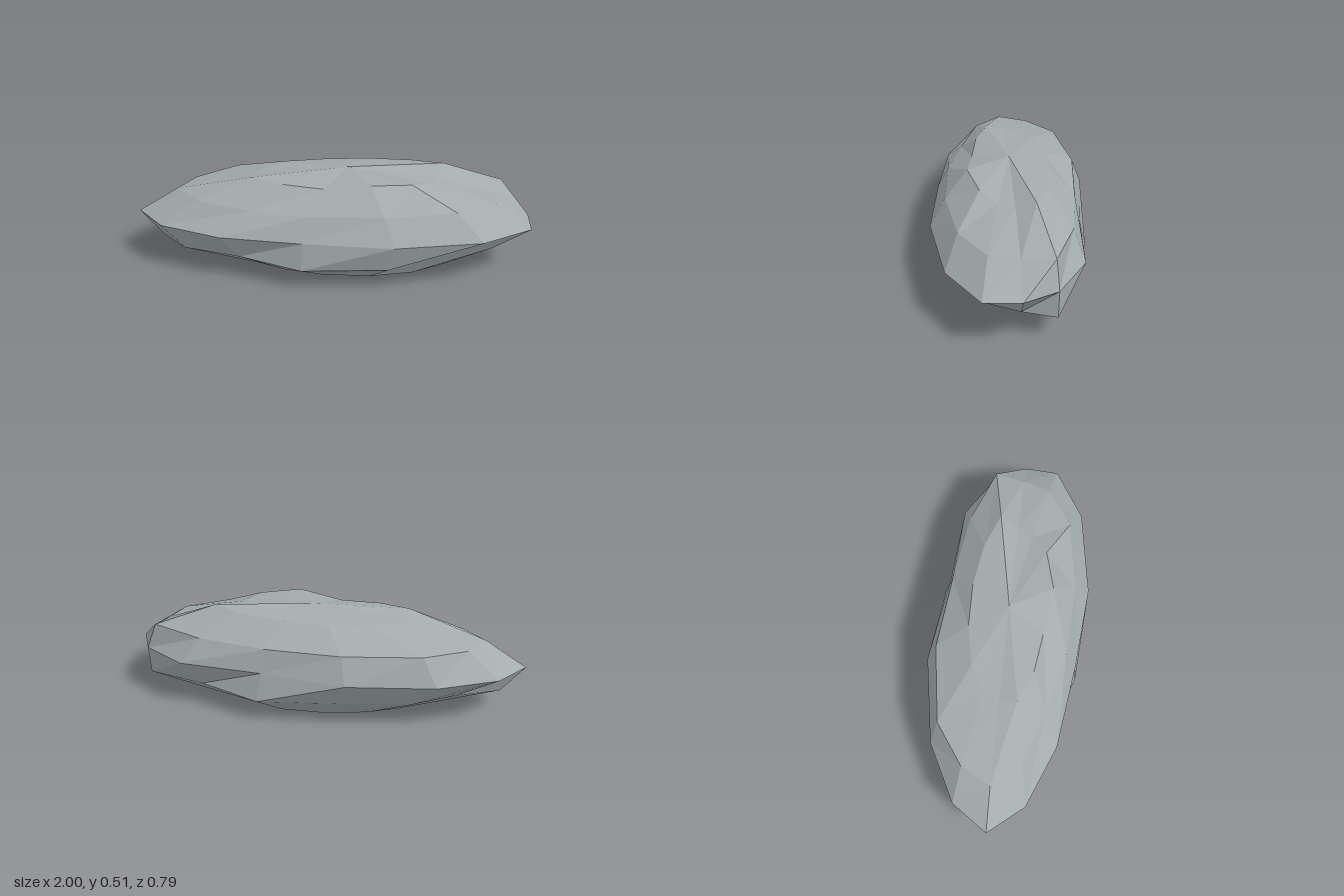
import * as THREE from 'three';

// Low-poly boulder: a flattened ellipsoid whose vertices are pushed in and out.
const SEGMENTS = 14;
const HALF = { x: 1, y: 0.255, z: 0.39 };
const CENTRE = { x: 0.07, y: 0.255 };

// Radial factors for each latitude ring, top to bottom, starting at +x and turning towards +z.
const RINGS = [
  [0.91, 0.91, 1.03, 1.10, 0.95, 1.00, 1.04, 0.95, 0.95, 1.00, 1.00, 1.02, 1.05, 1.10],
  [0.90, 0.95, 1.00, 0.97, 0.92, 0.87, 0.95, 1.00, 1.01, 1.09, 1.05, 0.94, 0.98, 1.03],
  [0.93, 1.02, 1.07, 1.04, 0.94, 0.99, 1.03, 1.07, 1.05, 1.06, 1.04, 0.88, 1.00, 0.945],
  [0.94, 0.95, 0.85, 1.08, 1.12, 0.98, 1.05, 1.10, 0.95, 1.00, 1.00, 1.11, 0.98, 1.08],
  [0.95, 1.05, 1.08, 1.10, 1.05, 1.00, 1.00, 1.02, 1.00, 1.00, 1.08, 1.12, 1.00, 1.10],
];

function ringPoint(ring, k) {
  const f = RINGS[ring][k % SEGMENTS];
  const polar = ((ring + 1) * Math.PI) / 6;
  const angle = (k * 2 * Math.PI) / SEGMENTS;
  // The lowest ring rests flat on the ground.
  const y = ring === 4 ? 0 : CENTRE.y + HALF.y * f * Math.cos(polar);
  return [
    CENTRE.x + HALF.x * f * Math.sin(polar) * Math.cos(angle),
    y,
    HALF.z * f * Math.sin(polar) * Math.sin(angle),
  ];
}

function boulderGeometry() {
  const positions = [];
  const tri = (...points) => points.forEach((p) => positions.push(...p));
  const top = [CENTRE.x, 0.51, 0];
  const bottom = [CENTRE.x, 0, 0];
  for (let k = 0; k < SEGMENTS; k++) {
    // Crown facets
    tri(top, ringPoint(0, k + 1), ringPoint(0, k));
    // Side facets
    for (let r = 0; r < RINGS.length - 1; r++) {
      const upper = ringPoint(r, k);
      const lowerNext = ringPoint(r + 1, k + 1);
      tri(upper, ringPoint(r, k + 1), lowerNext);
      tri(upper, lowerNext, ringPoint(r + 1, k));
    }
    // Flat base
    tri(bottom, ringPoint(4, k), ringPoint(4, k + 1));
  }
  const geometry = new THREE.BufferGeometry();
  geometry.setAttribute('position', new THREE.Float32BufferAttribute(positions, 3));
  geometry.computeVertexNormals();
  return geometry;
}

export function createModel() {
  const stone = new THREE.MeshStandardMaterial({ color: 0xa3abad });
  stone.name = 'grey stone';
  stone.flatShading = true;

  const boulder = new THREE.Mesh(boulderGeometry(), stone);
  boulder.name = 'boulder';

  const model = new THREE.Group();
  model.name = 'rock';
  model.add(boulder);
  return model;
}
